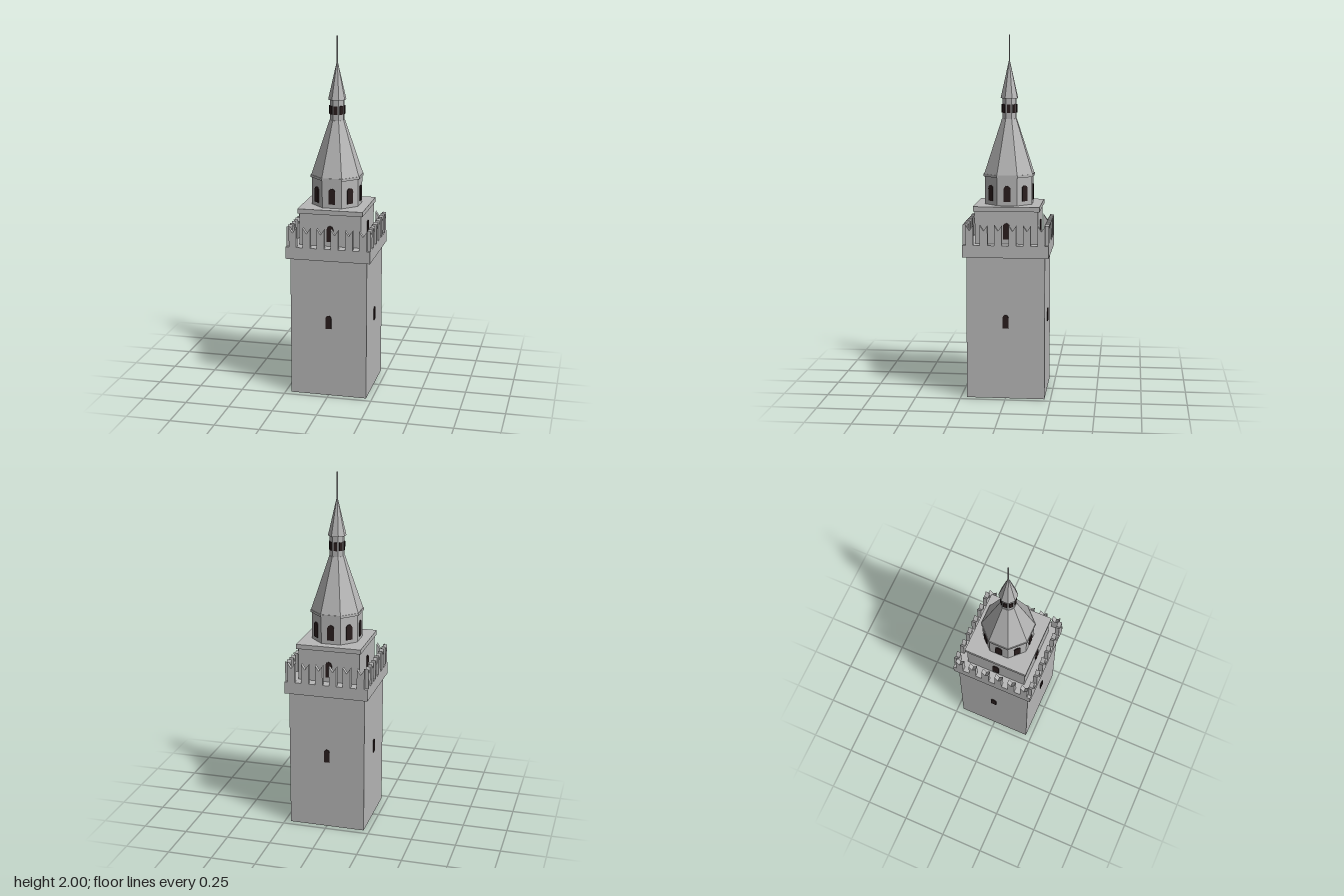
import * as THREE from 'three';

const stone = new THREE.MeshStandardMaterial({ color: 0xb8b8b8, flatShading: true, side: THREE.DoubleSide });
stone.name = 'grey stone';
const dark = new THREE.MeshStandardMaterial({ color: 0x2a1e1e });
dark.name = 'dark opening';

export function createModel() {
  const tower = new THREE.Group();
  tower.name = 'tower';

  // Prism or pyramid with flat sides facing the axes; sizes are centre-to-flat distances.
  function prism(name, sides, bottom, top, y0, y1, open = false) {
    const k = 1 / Math.cos(Math.PI / sides);
    const geo = new THREE.CylinderGeometry(top * k, bottom * k, y1 - y0, sides, 1, open);
    geo.rotateY(Math.PI / sides);
    const mesh = new THREE.Mesh(geo, stone);
    mesh.name = name;
    mesh.position.y = (y0 + y1) / 2;
    tower.add(mesh);
  }

  // Arched (or square-headed) thin window plates repeated on every side.
  function windows(name, sides, dist, halfW, y0, y1, arched = true) {
    const s = new THREE.Shape();
    s.moveTo(-halfW, y0);
    s.lineTo(halfW, y0);
    if (arched) {
      s.lineTo(halfW, y1 - halfW);
      s.absarc(0, y1 - halfW, halfW, 0, Math.PI, false);
    } else {
      s.lineTo(halfW, y1);
      s.lineTo(-halfW, y1);
    }
    s.closePath();
    const geo = new THREE.ExtrudeGeometry(s, { depth: 0.007, bevelEnabled: false, curveSegments: 4 });
    geo.translate(0, 0, dist - 0.002);
    const group = new THREE.Group();
    group.name = name;
    for (let i = 0; i < sides; i++) {
      const mesh = new THREE.Mesh(geo, dark);
      mesh.name = 'window';
      mesh.rotation.y = (i / sides) * Math.PI * 2;
      group.add(mesh);
    }
    tower.add(group);
  }

  // Square shaft, open underneath
  prism('shaft', 4, 0.216, 0.216, 0, 0.794, true);
  windows('shaftWindows', 4, 0.216, 0.016, 0.397, 0.473);

  // Overhanging parapet deck
  prism('parapet', 4, 0.237, 0.237, 0.794, 0.862);

  // Swallow-tailed merlons, six per side
  const m = new THREE.Shape();
  m.moveTo(-0.021, 0.86);
  m.lineTo(0.021, 0.86);
  m.lineTo(0.021, 0.974);
  m.lineTo(0, 0.942);
  m.lineTo(-0.021, 0.974);
  m.closePath();
  const merlonGeo = new THREE.ExtrudeGeometry(m, { depth: 0.024, bevelEnabled: false });
  const merlons = new THREE.Group();
  merlons.name = 'merlons';
  for (let side = 0; side < 4; side++) {
    const row = new THREE.Group();
    row.name = 'merlonRow';
    row.rotation.y = side * Math.PI / 2;
    for (let i = 0; i < 6; i++) {
      const mesh = new THREE.Mesh(merlonGeo, stone);
      mesh.name = 'merlon';
      mesh.position.set((i - 2.5) * 0.079, 0, 0.213);
      row.add(mesh);
    }
    merlons.add(row);
  }
  tower.add(merlons);

  // Upper square storey with its cornice slab
  prism('upperStorey', 4, 0.174, 0.174, 0.862, 1.042);
  windows('upperStoreyWindows', 4, 0.174, 0.018, 0.889, 0.978);
  prism('cornice', 4, 0.183, 0.183, 1.042, 1.068);

  // Octagonal belfry and lower spire
  prism('belfry', 8, 0.131, 0.131, 1.068, 1.222);
  windows('belfryWindows', 8, 0.131, 0.019, 1.09, 1.178);
  prism('eave', 8, 0.138, 0.138, 1.222, 1.236);
  prism('lowerSpire', 8, 0.135, 0.04, 1.236, 1.54);

  // Lantern, top spire and mast
  prism('lantern', 8, 0.038, 0.038, 1.54, 1.655);
  windows('lanternWindows', 8, 0.038, 0.01, 1.573, 1.62, false);
  prism('topSpire', 8, 0.047, 0.001, 1.653, 1.868);
  prism('mast', 8, 0.003, 0.003, 1.85, 2);

  return tower;
}
